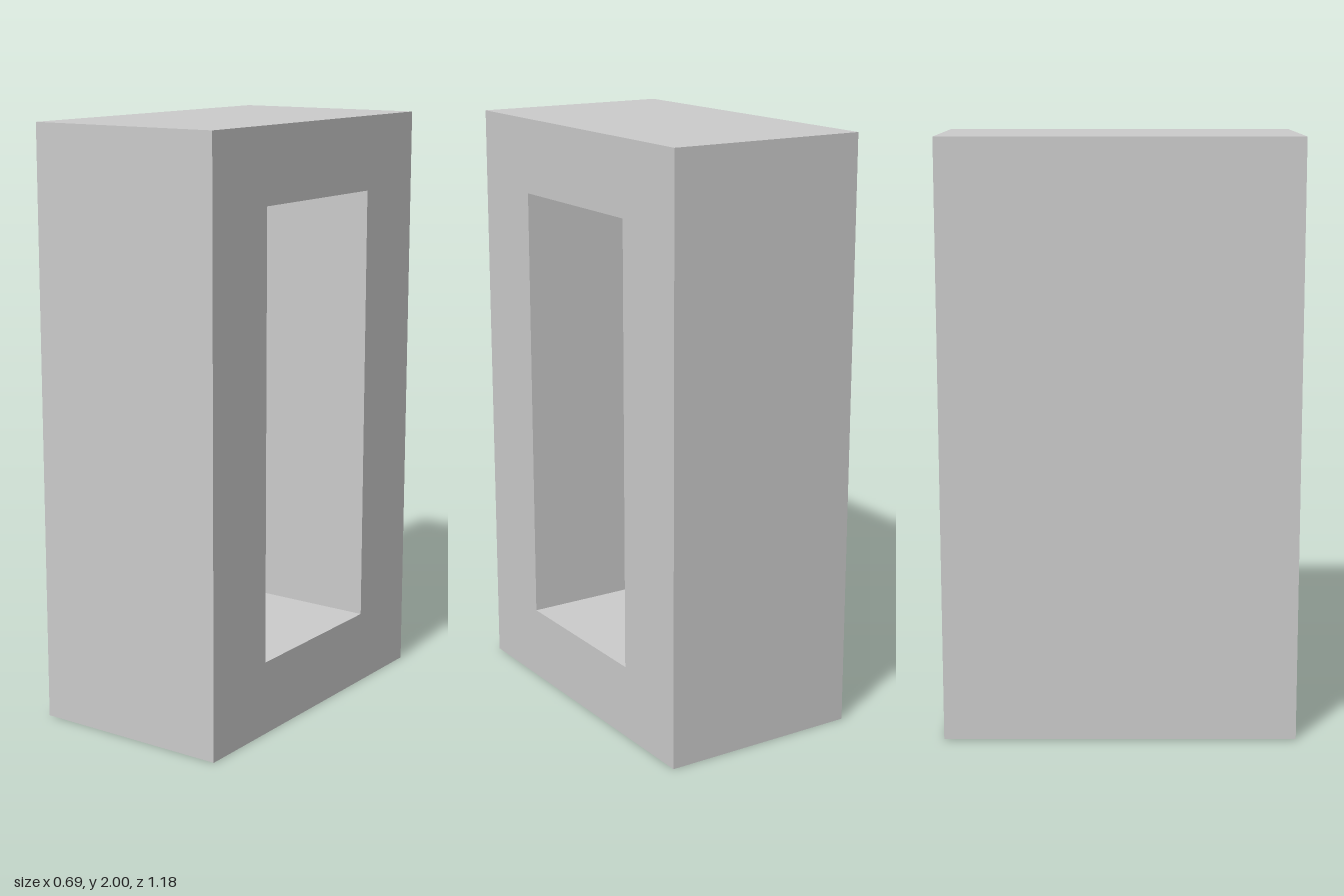
import * as THREE from 'three';
import { mergeGeometries } from 'three/addons/utils/BufferGeometryUtils.js';

const W = 0.69, H = 2, D = 1.18;               // outer block
const CAV_H = 1.5, CAV_D = 0.6, DEPTH = 0.44;  // recess in the +x side

// Box without its +x face; inward = true turns the faces to the inside
function openBox(w, h, d, inward) {
  const geometry = new THREE.BoxGeometry(w, h, d);
  const index = Array.from(geometry.index.array).slice(6);
  geometry.setIndex(inward ? index.reverse() : index);
  geometry.computeVertexNormals();
  return geometry;
}

function rectangle(target, w, h) {
  target.moveTo(-w / 2, -h / 2);
  target.lineTo(w / 2, -h / 2);
  target.lineTo(w / 2, h / 2);
  target.lineTo(-w / 2, h / 2);
  target.closePath();
  return target;
}

export function createModel() {
  const group = new THREE.Group();
  group.name = 'openCase';

  // Outer shell and the recess walls
  const shell = openBox(W, H, D, false);
  const recess = openBox(DEPTH, CAV_H, CAV_D, true).translate((W - DEPTH) / 2, 0, 0);

  // Rim around the opening
  const outline = rectangle(new THREE.Shape(), D, H);
  outline.holes.push(rectangle(new THREE.Path(), CAV_D, CAV_H));
  const rim = new THREE.ShapeGeometry(outline).rotateY(Math.PI / 2).translate(W / 2, 0, 0);

  const body = new THREE.Mesh(
    mergeGeometries([shell, recess, rim]),
    new THREE.MeshStandardMaterial({ color: 0xcccccc })
  );
  body.name = 'caseBody';
  body.position.y = H / 2;
  group.add(body);
  return group;
}
